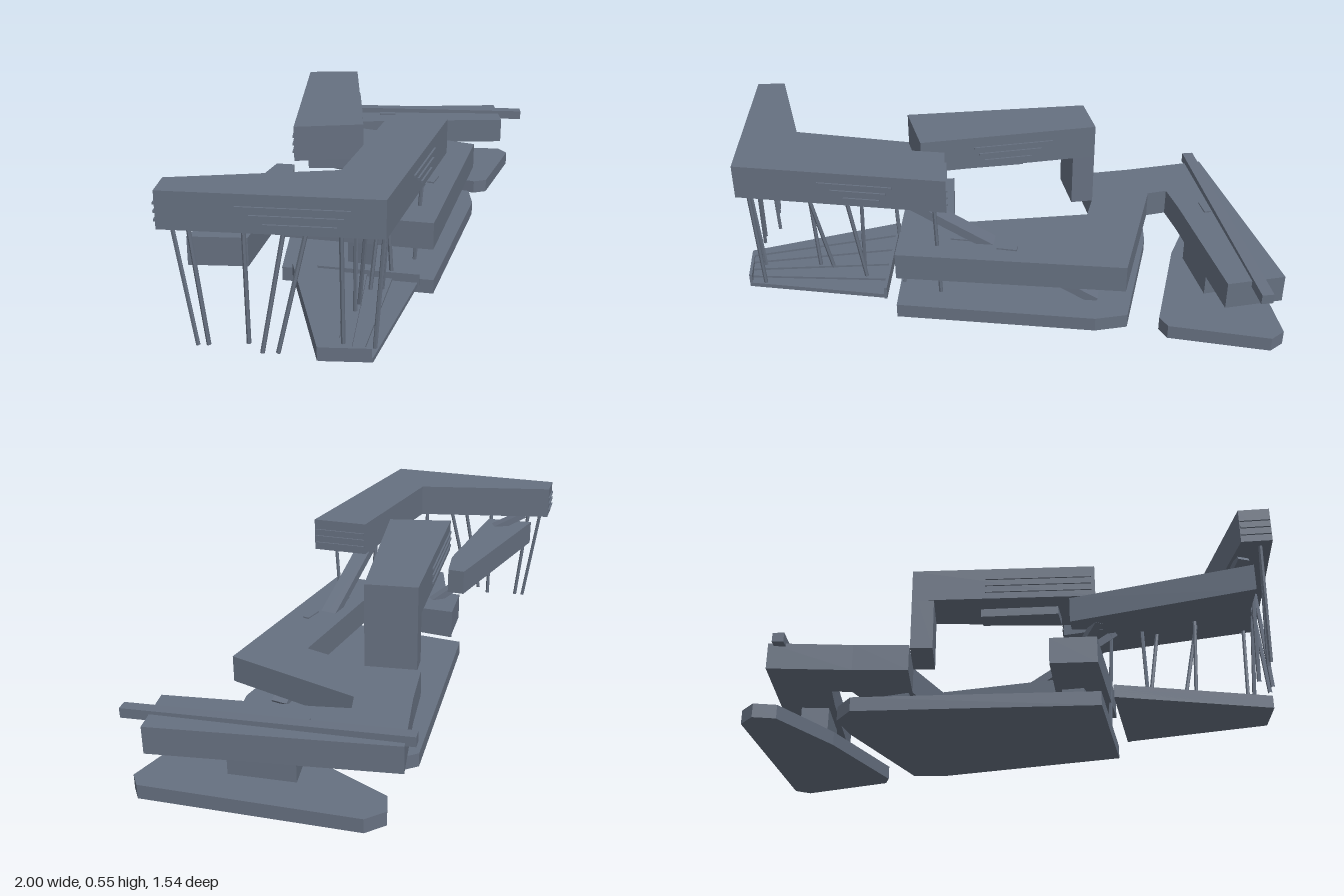
import * as THREE from 'three';

export function createModel() {
  const model = new THREE.Group();
  const slate = new THREE.MeshStandardMaterial({ color: 0x667080, flatShading: true });
  slate.name = 'slate';

  function add(name, geometry) {
    const mesh = new THREE.Mesh(geometry, slate);
    mesh.name = name;
    model.add(mesh);
    return mesh;
  }

  // Plan outline of [x, z] corners raised from y0 to y1
  function slab(name, plan, y0, y1) {
    const shape = new THREE.Shape(plan.map(([x, z]) => new THREE.Vector2(x, -z)));
    const g = new THREE.ExtrudeGeometry(shape, { depth: y1 - y0, bevelEnabled: false });
    g.rotateX(-Math.PI / 2).translate(0, y0, 0);
    return add(name, g);
  }

  // Box stretched between two points
  function beam(name, a, b, width, height) {
    const from = new THREE.Vector3(...a), to = new THREE.Vector3(...b);
    const mesh = add(name, new THREE.BoxGeometry(width, height, from.distanceTo(to)));
    mesh.position.copy(from).add(to).multiplyScalar(0.5);
    mesh.lookAt(to);
    return mesh;
  }

  // Thin round pole between two points
  function pole(a, b) {
    const path = new THREE.LineCurve3(new THREE.Vector3(...a), new THREE.Vector3(...b));
    add('pole', new THREE.TubeGeometry(path, 1, 0.007, 6, false));
  }

  // Ground plates
  slab('mainGroundPlate', [[-0.42, 0.08], [-0.09, 0.48], [0.48, 0.09], [0.55, 0.0],
    [0.32, -0.43], [0.24, -0.53], [0.14, -0.54]], 0, 0.05);
  slab('sideGroundPlate', [[0.45, -0.42], [0.64, -0.06], [0.69, -0.04], [0.99, -0.21],
    [1.0, -0.27], [0.47, -0.77], [0.39, -0.77], [0.35, -0.7]], 0, 0.05);

  // Terraced plate: long treads stepping up toward the back edge, held by side walls
  const treads = 5;
  for (let i = 0; i < treads; i++) {
    const t = 1 - i / treads;
    slab('terraceTread', [[-0.69, 0.63], [-0.42, 0.14], [-0.42 + 0.27 * t, 0.14 + 0.33 * t],
      [-0.69 + 0.12 * t, 0.63 + 0.11 * t]], 0.045, 0.06 + 0.0075 * i);
  }
  beam('terraceWall', [-0.42, 0.0675, 0.145], [-0.15, 0.0675, 0.475], 0.01, 0.045);
  beam('terraceWall', [-0.685, 0.0675, 0.63], [-0.57, 0.0675, 0.735], 0.01, 0.045);

  // Raised lower storey: front bar, two arms and the side wing
  slab('lowerStorey', [[-0.41, 0.08], [-0.09, 0.475], [0.55, 0.02], [0.32, -0.43], [0.36, -0.49],
    [0.46, -0.42], [0.85, -0.12], [0.97, -0.28], [0.33, -0.765], [0.16, -0.53], [0.04, -0.38],
    [0.19, -0.26], [0.3, -0.05], [-0.06, 0.21], [-0.3, -0.04]], 0.16, 0.255);
  beam('wingRoofRail', [0.28, 0.262, -0.755], [0.985, 0.248, -0.14], 0.04, 0.034);
  beam('wingSkylight', [0.51, 0.256, -0.5], [0.56, 0.256, -0.46], 0.025, 0.008);

  // Cores carrying the lower storey
  slab('leftCore', [[-0.22, 0.19], [-0.17, 0.27], [-0.12, 0.22], [-0.16, 0.14]], 0.05, 0.16);
  slab('middleCore', [[0.2, -0.27], [0.28, -0.32], [0.32, -0.27], [0.24, -0.23]], 0.05, 0.16);
  slab('wingCore', [[0.5, -0.42], [0.68, -0.28], [0.73, -0.35], [0.56, -0.5]], 0.05, 0.16);

  // Middle bar
  slab('middleBar', [[-0.91, 0.31], [-0.37, -0.005], [-0.33, 0.04], [-0.41, 0.14], [-0.78, 0.43]], 0.3, 0.39);

  // Upper storey: bent front bar, rear bar and its supporting tower
  slab('upperFrontBar', [[-1.0, 0.3], [-0.93, 0.23], [-0.5, 0.51], [-0.08, 0.23], [0.06, 0.37],
    [-0.545, 0.765]], 0.435, 0.553);
  slab('upperRearBar', [[-0.38, 0.11], [0.05, -0.37], [0.19, -0.26], [-0.19, 0.235]], 0.435, 0.553);
  slab('tower', [[-0.0, -0.31], [0.05, -0.37], [0.19, -0.26], [0.14, -0.2]], 0.25, 0.5);
  slab('hangingBox', [[-0.24, 0.06], [-0.05, -0.14], [0.0, -0.09], [-0.18, 0.13]], 0.405, 0.436);

  // Sloping stair flights
  beam('longStair', [-0.2, 0.435, 0.39], [0.4, 0.045, -0.02], 0.06, 0.03);
  beam('upperStair', [-0.87, 0.435, 0.31], [-0.75, 0.375, 0.36], 0.04, 0.025);
  beam('lowerStair', [-0.42, 0.31, 0.08], [-0.3, 0.245, 0.1], 0.03, 0.025);

  // Louvres set along the facades, each row slightly shifted
  const facades = [
    [[-1.0, 0.3], [-0.545, 0.765], 0.35, 0.85],
    [[-0.545, 0.765], [0.06, 0.37], 0.4, 0.75],
    [[0.19, -0.26], [-0.19, 0.235], 0.25, 0.7],
    [[0.06, 0.37], [-0.08, 0.23], 0.02, 0.98],
    [[-0.93, 0.23], [-1.0, 0.3], 0.02, 0.98],
    [[0.05, -0.37], [-0.38, 0.11], 0.4, 0.98],
  ];
  for (const [a, b, t0, t1] of facades) {
    [0.462, 0.488, 0.513].forEach((y, row) => {
      const inset = (t1 - t0 < 0.55) ? 0.06 * (2 - row) : 0;
      const at = (t) => [a[0] + (b[0] - a[0]) * t, y, a[1] + (b[1] - a[1]) * t];
      beam('louvre', at(t0 + inset), at(t1 - inset / 2), 0.012, 0.007);
    });
  }

  // Roof hatches on the front bar of the lower storey
  beam('roofHatch', [-0.02, 0.256, 0.27], [0.09, 0.256, 0.2], 0.025, 0.008);
  beam('roofHatch', [0.14, 0.256, 0.21], [0.2, 0.256, 0.175], 0.025, 0.008);

  // Leaning poles: top x, z then foot x, z
  const poles = [
    [-0.95, 0.3, -0.91, 0.34], [-0.92, 0.34, -0.885, 0.36], [-0.8, 0.44, -0.79, 0.43],
    [-0.73, 0.54, -0.79, 0.5], [-0.68, 0.58, -0.755, 0.53], [-0.62, 0.66, -0.6, 0.64],
    [-0.52, 0.73, -0.53, 0.7], [-0.46, 0.53, -0.45, 0.51], [-0.44, 0.56, -0.41, 0.48],
    [-0.28, 0.44, -0.315, 0.42], [-0.3, 0.5, -0.28, 0.44], [-0.2, 0.36, -0.17, 0.36],
    [-0.02, 0.35, -0.03, 0.32],
  ];
  for (const [x, z, fx, fz] of poles) pole([x, 0.44, z], [fx, 0.05, fz]);

  return model;
}
